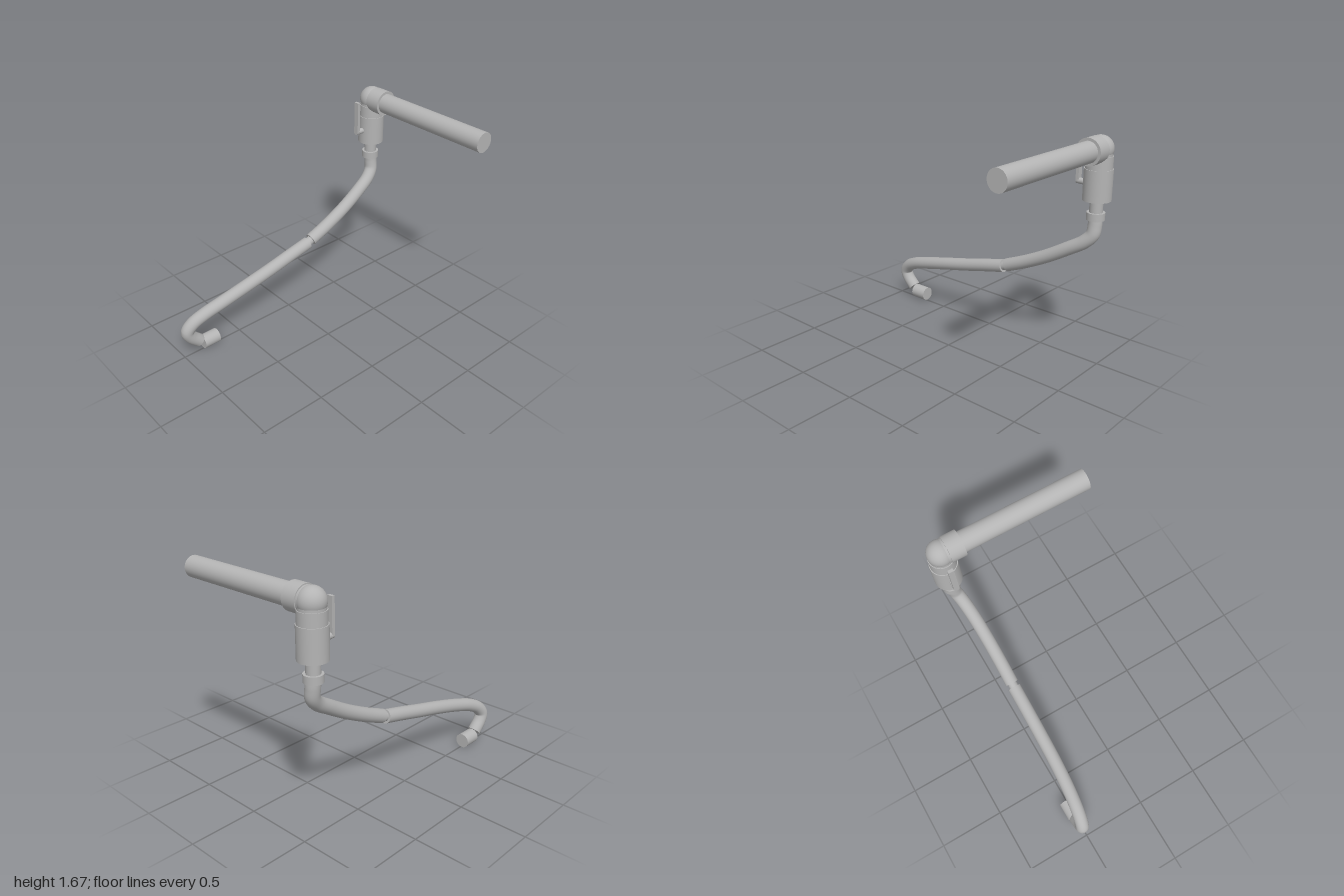
import * as THREE from 'three';

export function createModel() {
  const model = new THREE.Group();
  model.name = 'pipeValveAndHose';
  const grey = new THREE.MeshStandardMaterial({ color: 0xb4b4b4 });
  grey.name = 'plain grey';
  const X = -0.51, Z = -0.9, PIPE_Y = 1.58, HOSE_R = 0.05;

  function add(name, geometry, x = 0, y = 0, z = 0) {
    const mesh = new THREE.Mesh(geometry, grey);
    mesh.name = name;
    mesh.position.set(x, y, z);
    model.add(mesh);
    return mesh;
  }
  // Capped cylinder between two points
  function rod(name, a, b, radius) {
    const from = new THREE.Vector3(...a), to = new THREE.Vector3(...b);
    const dir = to.clone().sub(from);
    const mesh = add(name, new THREE.CylinderGeometry(radius, radius, dir.length(), 40));
    mesh.position.copy(from).add(to).multiplyScalar(0.5);
    mesh.quaternion.setFromUnitVectors(new THREE.Vector3(0, 1, 0), dir.normalize());
    return mesh;
  }
  const upright = (name, y0, y1, r) => rod(name, [X, y0, Z], [X, y1, Z], r);
  const level = (name, x0, x1, r) => rod(name, [x0, PIPE_Y, Z], [x1, PIPE_Y, Z], r);

  // Horizontal pipe and elbow
  level('pipe', -0.46, 0.605, 0.075);
  level('elbowCollarSide', -0.465, -0.355, 0.095);
  level('elbowSide', X, -0.46, 0.088);
  add('elbowBend', new THREE.SphereGeometry(0.093, 40, 24), X, PIPE_Y, Z);
  upright('elbowDown', 1.5, PIPE_Y, 0.088);
  upright('elbowCollarBottom', 1.44, 1.533, 0.094);

  // Valve body, neck and hose ring
  upright('valveBody', 1.223, 1.445, 0.1);
  upright('valveNeck', 1.12, 1.23, 0.047);
  upright('hoseRing', 1.082, 1.136, 0.065);

  // Valve lever: a flat bar with a rounded lower end, on a short stem
  rod('leverStem', [X, 1.333, -0.82], [X, 1.333, -0.752], 0.022);
  const bar = new THREE.Shape();
  bar.moveTo(0.02, 0.247);
  bar.lineTo(-0.02, 0.247);
  bar.lineTo(-0.02, 0);
  bar.absarc(0, 0, 0.02, Math.PI, Math.PI * 2, false);
  bar.closePath();
  add('lever', new THREE.ExtrudeGeometry(bar, { depth: 0.023, bevelEnabled: false, curveSegments: 12 }),
    X, 1.333, -0.758);

  // Hose in two lengths, with flat ends
  function hose(name, points) {
    const path = new THREE.CatmullRomCurve3(points.map((p) => new THREE.Vector3(...p)));
    add(name, new THREE.TubeGeometry(path, 80, HOSE_R, 28));
    [0, 1].forEach((t) => {
      const end = path.getPointAt(t), out = path.getTangentAt(t).multiplyScalar(t ? 1 : -1);
      const cap = add(name + 'End', new THREE.CircleGeometry(HOSE_R, 28), end.x, end.y, end.z);
      cap.quaternion.setFromUnitVectors(new THREE.Vector3(0, 0, 1), out);
    });
  }
  hose('upperHose', [
    [X, 1.1, Z], [-0.505, 1.04, -0.903], [-0.494, 0.975, -0.896], [-0.477, 0.915, -0.845],
    [-0.46, 0.84, -0.725], [-0.449, 0.743, -0.556], [-0.445, 0.65, -0.365], [-0.446, 0.583, -0.205],
  ]);
  hose('lowerHose', [
    [-0.446, 0.566, -0.17], [-0.447, 0.527, 0], [-0.449, 0.478, 0.2], [-0.454, 0.425, 0.43],
    [-0.466, 0.37, 0.65], [-0.483, 0.322, 0.81], [-0.499, 0.272, 0.905], [-0.51, 0.212, 0.948],
    [-0.512, 0.155, 0.925], [-0.512, 0.085, 0.857],
  ]);
  rod('hoseJoint', [-0.446, 0.587, -0.215], [-0.446, 0.564, -0.16], 0.035);

  // Outlet at the lower end of the hose
  rod('outlet', [X, 0.055, 0.7], [X, 0.055, 0.832], 0.055);

  return model;
}
